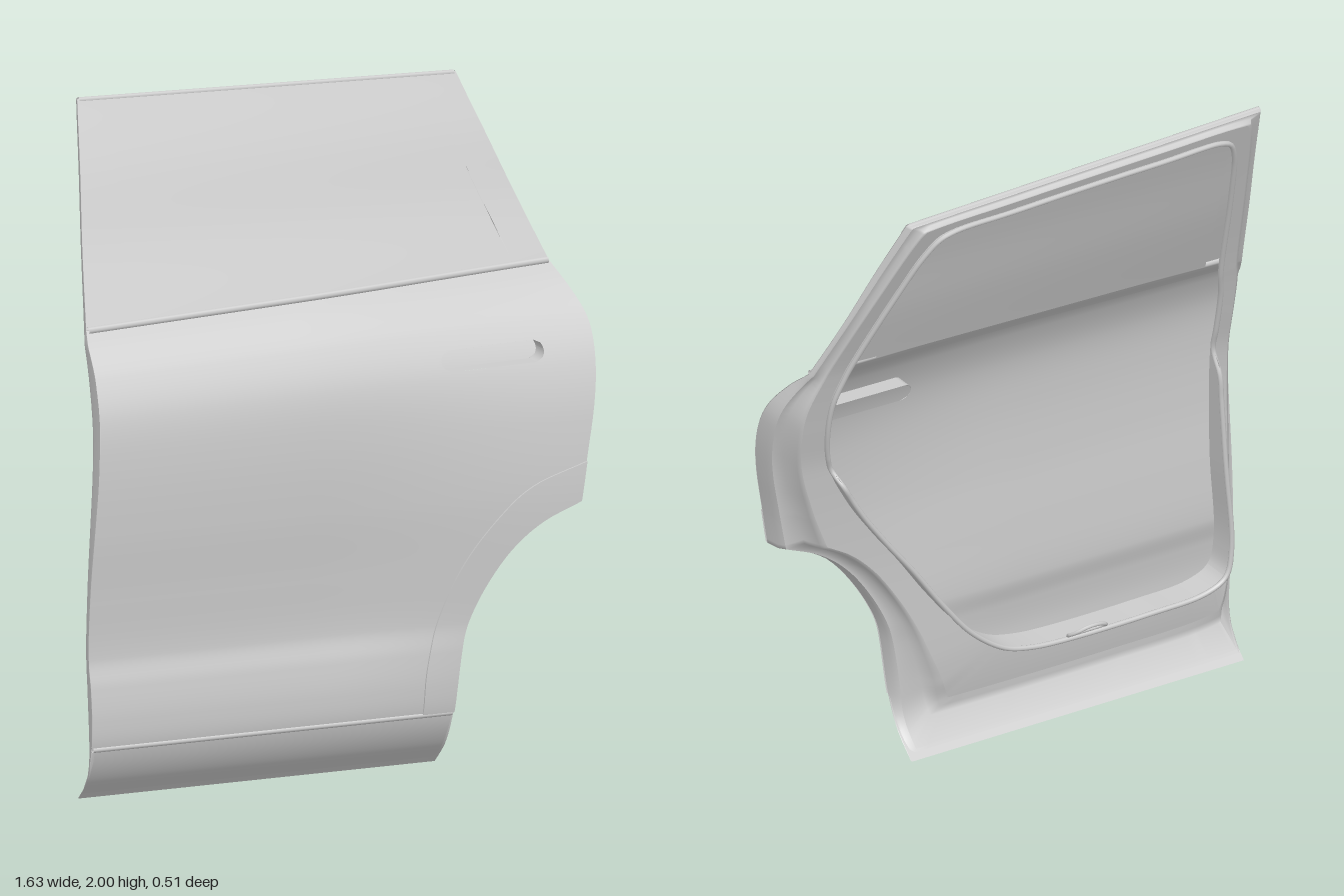
import * as THREE from 'three';

const material = new THREE.MeshStandardMaterial({ color: 0xcccccc, side: THREE.DoubleSide });
const { lerp, clamp, smoothstep } = THREE.MathUtils;

// Smooth curve through [position, value] pairs
function smooth(p) {
  const slope = i => {
    const a = p[Math.max(i - 1, 0)], b = p[Math.min(i + 1, p.length - 1)];
    return (b[1] - a[1]) / (b[0] - a[0]);
  };
  return t => {
    let i = 0;
    while (i < p.length - 2 && t > p[i + 1][0]) i++;
    const h = p[i + 1][0] - p[i][0], s = clamp((t - p[i][0]) / h, 0, 1), s2 = s * s, s3 = s2 * s;
    return (2 * s3 - 3 * s2 + 1) * p[i][1] + (s3 - 2 * s2 + s) * h * slope(i)
      + (3 * s2 - 2 * s3) * p[i + 1][1] + (s3 - s2) * h * slope(i + 1);
  };
}

// Door outline: x of the front and rear edges by height
const BELT = 1.4, TOP = 1.98;
const frontLow = smooth([[0, -0.8], [0.15, -0.813], [0.4, -0.815], [0.7, -0.81], [1, -0.79], [1.35, -0.765], [1.4, -0.75]]);
const wheelArch = smooth([[0, 0.34], [0.17, 0.345], [0.37, 0.37], [0.47, 0.405], [0.58, 0.47], [0.66, 0.54], [0.72, 0.625], [0.765, 0.735]]);
const rearSide = smooth([[0.765, 0.735], [0.88, 0.755], [1.1, 0.8], [1.22, 0.81], [1.28, 0.8], [1.4, 0.745]]);
const slant = (y, a, b) => lerp(a, b, (y - BELT) / (TOP - BELT));
const edgeL = y => (y < BELT ? frontLow(y) : slant(y, -0.75, -0.66));
const edgeR = y => (y < 0.765 ? wheelArch(y) : y < BELT ? rearSide(y) : slant(y, 0.745, 0.55));

// Depth of the outer skin and of the inner panel
const frontProfile = smooth([[0, 0.1], [0.07, 0.17], [0.16, 0.213], [0.25, 0.222], [0.35, 0.213], [0.43, 0.197],
  [0.6, 0.203], [0.8, 0.217], [1, 0.218], [1.15, 0.2], [1.27, 0.152], [1.35, 0.095], [1.4, 0.045]]);
const rearProfile = smooth([[0, 0.1], [0.07, 0.17], [0.16, 0.212], [0.4, 0.235], [0.76, 0.254], [1, 0.236],
  [1.15, 0.2], [1.27, 0.142], [1.35, 0.075], [1.4, 0.015]]);
const windowProfile = smooth([[1.4, 0.03], [1.6, -0.055], [1.8, -0.13], [1.98, -0.205]]);
const innerProfile = smooth([[0, 0.095], [0.1, 0.16], [0.2, 0.145], [0.3, 0.135], [0.7, 0.122], [1.05, 0.085],
  [1.2, 0.045], [1.35, 0], [1.45, -0.035], [1.65, -0.115], [1.98, -0.25]]);
const skinZ = (x, y) => (y > BELT
  ? windowProfile(y) - 0.02 * x * (1 - (y - BELT) / (TOP - BELT))
  : lerp(frontProfile(y), rearProfile(y), smoothstep(x, -0.1, 0.8)));
const innerZ = (x, y) => Math.min(innerProfile(y), skinZ(x, y) - 0.004);

// Belt line climbs to the rear, roof line falls
const skew = y => (y < BELT ? 0.04 * clamp((y - 1) / 0.4, 0, 1) : slant(y, 0.04, -0.03));
const place = (x, y, z) => new THREE.Vector3(x, y + skew(y) * x, z);

function addMesh(group, name, geometry) {
  const mesh = new THREE.Mesh(geometry, material);
  mesh.name = name;
  group.add(mesh);
  return mesh;
}

// Grid surface; point(u, v) returns a Vector3, normal(u, v) is optional
function grid(nu, nv, point, normal) {
  const pos = [], nor = [], index = [];
  for (let j = 0; j <= nv; j++) for (let i = 0; i <= nu; i++) {
    pos.push(...point(i / nu, j / nv).toArray());
    if (normal) nor.push(...normal(i / nu, j / nv).toArray());
    if (i < nu && j < nv) {
      const a = j * (nu + 1) + i, b = a + nu + 1;
      index.push(a, a + 1, b + 1, a, b + 1, b);
    }
  }
  const g = new THREE.BufferGeometry();
  g.setAttribute('position', new THREE.Float32BufferAttribute(pos, 3));
  g.setIndex(index);
  if (normal) g.setAttribute('normal', new THREE.Float32BufferAttribute(nor, 3));
  else g.computeVertexNormals();
  return g;
}

// Piece of skin between two heights and two side curves, shifted in depth
function skin(group, name, y0, y1, xa, xb, offset = 0, nu = 30) {
  const at = (u, v) => { const y = lerp(y0, y1, v); return [lerp(xa(y), xb(y), u), y]; };
  const e = 0.004;
  return addMesh(group, name, grid(nu, Math.ceil((y1 - y0) / 0.012),
    (u, v) => { const [x, y] = at(u, v); return place(x, y, skinZ(x, y) + offset); },
    (u, v) => {
      const [x, y] = at(u, v), low = y0 < BELT ? 0 : BELT + 0.001, high = y0 < BELT ? BELT : TOP;
      const ya = Math.max(y - e, low), yb = Math.min(y + e, high);
      return new THREE.Vector3((skinZ(x - e, y) - skinZ(x + e, y)) / (2 * e),
        (skinZ(x, ya) - skinZ(x, yb)) / (yb - ya), 1).normalize();
    }));
}

function tube(group, name, points, radius, closed = false) {
  const path = new THREE.CatmullRomCurve3(points, closed);
  return addMesh(group, name, new THREE.TubeGeometry(path, points.length * 3, radius, 8, closed));
}

// Tube lying on the skin along a line of constant height
function strip(group, name, y, xa, xb, radius, offset) {
  const pts = Array.from({ length: 17 }, (_, i) => lerp(xa, xb, i / 16)).map(x => place(x, y, skinZ(x, y) + offset));
  return tube(group, name, pts, radius);
}

export function createModel() {
  const door = new THREE.Group();
  door.name = 'rearDoor';

  // Outer skin, split around the handle slot
  const r = 0.029, yc = 1.194, slotA = 0.35, slotB = 0.62;
  const bulge = y => Math.sqrt(Math.max(0, r * r - (y - yc) ** 2));
  const slotL = y => slotA - bulge(y), slotR = y => slotB + bulge(y);
  skin(door, 'lowerSkin', 0.165, 0.765, edgeL, edgeR, 0, 50);
  skin(door, 'middleSkin', 0.765, yc - r, edgeL, edgeR, 0, 50);
  for (const [a, b] of [[yc - r, yc], [yc, yc + r]]) {
    skin(door, 'skinBesideHandle', a, b, edgeL, slotL, 0, 40);
    skin(door, 'skinBesideHandle', a, b, slotR, edgeR, 0, 10);
  }
  skin(door, 'shoulderSkin', yc + r, BELT, edgeL, edgeR, 0, 50);

  // Handle recess
  const slotPoint = a => {
    const s = Math.sin(a), c = Math.cos(a);
    return [(c > 0 ? slotB : slotA) + c * r, yc + s * r];
  };
  addMesh(door, 'handlePocketWall', grid(48, 2, (u, v) => {
    const [x, y] = slotPoint((u + 1 / 96) * Math.PI * 2);
    return place(x, y, skinZ(x, y) - 0.055 * v);
  }));
  skin(door, 'handlePocketFloor', yc - r, yc + r, slotL, slotR, -0.055);

  // Sill panel, its shadow lip and wheel arch trim
  skin(door, 'sillPanel', 0, 0.165, () => -0.8, edgeR, -0.006, 40);
  strip(door, 'sillLip', 0.167, -0.81, 0.34, 0.008, -0.003);
  const trim = smooth([[0.17, 0.245], [0.3, 0.255], [0.46, 0.3], [0.62, 0.38], [0.76, 0.5], [0.83, 0.6], [0.88, 0.755]]);
  skin(door, 'archTrim', 0.17, 0.765, trim, edgeR, 0.006, 12);
  skin(door, 'archTrimTip', 0.765, 0.88, trim, edgeR, 0.006, 12);
  addMesh(door, 'archTrimEdge', grid(1, 60, (u, v) => {
    const y = lerp(0.17, 0.88, v), x = trim(y);
    return place(x, y, skinZ(x, y) + 0.006 * u);
  }));

  // Window glass with pillar covers, quarter trim and roof rail
  const glassL = y => slant(y, -0.605, -0.555);
  const glassR = smooth([[1.4, 0.49], [1.6, 0.5], [1.75, 0.512], [1.85, 0.49], [1.98, 0.45]]);
  const quarterR = y => Math.max(glassR(y), lerp(0.635, 0.515, (y - BELT) / 0.36));
  const lowGlass = BELT + 0.002;
  skin(door, 'windowGlass', lowGlass, 1.96, y => glassL(y) - 0.02, y => glassR(y) + 0.03, -0.014);
  skin(door, 'frontPillarCover', lowGlass, TOP, edgeL, y => glassL(y) - 0.006, 0, 8);
  skin(door, 'frontWindowSeal', lowGlass, 1.95, y => glassL(y) - 0.01, y => glassL(y) + 0.004, -0.007, 2);
  skin(door, 'quarterTrim', lowGlass, 1.76, glassR, quarterR, -0.007, 8);
  skin(door, 'rearPillarCover', lowGlass, TOP, quarterR, edgeR, 0, 8);
  skin(door, 'roofRail', 1.95, TOP, edgeL, edgeR, 0.002);
  strip(door, 'roofMoulding', TOP - 0.006, -0.655, 0.545, 0.009, -0.006);
  strip(door, 'beltMoulding', BELT, -0.745, 0.74, 0.011, 0);
  skin(door, 'innerBeltBar', 1.35, BELT, y => edgeL(y) + 0.06, y => edgeR(y) - 0.06, -0.03);

  // Inner panel ring: outline x, y paired with opening x, y (9 means the side edge)
  const pairs = [
    [-0.8, 0, -0.7, 0.33], [-9, 0.3, -0.72, 0.42], [-9, 0.7, -0.7, 0.7], [-9, 1, -0.68, 1], [-9, 1.3, -0.66, 1.3],
    [-9, 1.4, -0.64, 1.4], [-9, 1.7, -0.6, 1.7], [-9, 1.92, -0.565, 1.87], [-0.66, 1.98, -0.53, 1.92],
    [-0.3, 1.98, -0.3, 1.93], [0.2, 1.98, 0.2, 1.93], [0.55, 1.98, 0.44, 1.92], [9, 1.92, 0.49, 1.86],
    [9, 1.7, 0.55, 1.7], [9, 1.4, 0.64, 1.4], [9, 1.28, 0.67, 1.28], [9, 1.1, 0.65, 1.1], [9, 0.88, 0.56, 0.92],
    [9, 0.765, 0.47, 0.79], [9, 0.66, 0.37, 0.66], [9, 0.5, 0.27, 0.52], [9, 0.35, 0.17, 0.4], [9, 0.17, 0.06, 0.32],
    [0.34, 0, -0.03, 0.295], [0, 0, -0.15, 0.285], [-0.4, 0, -0.45, 0.285], [-0.7, 0, -0.63, 0.295]];
  const opening = new THREE.CatmullRomCurve3(pairs.map(p => new THREE.Vector3(p[2], p[3], 0)), true);
  const n = pairs.length;
  const ends = u => {
    const t = (u % 1) * n, i = Math.floor(t), a = pairs[i % n], b = pairs[(i + 1) % n];
    const oy = lerp(a[1], b[1], t - i);
    return [clamp(lerp(a[0], b[0], t - i), edgeL(oy), edgeR(oy)), oy, opening.getPoint(u % 1)];
  };
  const flangeZ = (x, y) => Math.min(innerZ(x, y) - 0.015, y < 1.05 ? 0.035 : 1);
  // Each step: share of the way to the opening, share of the way to inner depth
  const bands = {
    hemEdge: [[0, 0], [0.03, 0.35], [0.08, 0.5]],
    innerStep: [[0.08, 0.5], [0.3, 0.55], [0.38, 0.95], [0.45, 1]],
    innerPanel: [[0.45, 1], [0.7, 1], [0.96, 1], [1, 1]],
    openingFlange: [[1, 1], [1, 1.5], [1, 2]],
  };
  for (const [name, steps] of Object.entries(bands)) {
    addMesh(door, name, grid(n * 8, steps.length - 1, (u, v) => {
      const [k, w] = steps[Math.round(v * (steps.length - 1))], [ox, oy, p] = ends(u);
      const x = lerp(ox, p.x, k), y = lerp(oy, p.y, k), zi = innerZ(x, y);
      return place(x, y, w <= 1 ? lerp(skinZ(x, y) - 0.002, zi, w) : lerp(zi, flangeZ(x, y), w - 1));
    }));
  }
  const sealPoints = Array.from({ length: n * 4 }, (_, i) => {
    const p = opening.getPoint(i / (n * 4));
    return place(p.x, p.y, flangeZ(p.x, p.y));
  });
  tube(door, 'openingSeal', sealPoints, 0.008, true);

  // Small pull loop at the foot of the opening
  const loop = [[-0.06, 0.325, -0.01], [-0.05, 0.345, -0.04], [-0.02, 0.36, -0.052], [0.02, 0.36, -0.052],
    [0.05, 0.345, -0.04], [0.06, 0.325, -0.01]].map(p => new THREE.Vector3(p[0] - 0.19, p[1], p[2]));
  tube(door, 'pullLoop', loop, 0.006, true);

  return door;
}
